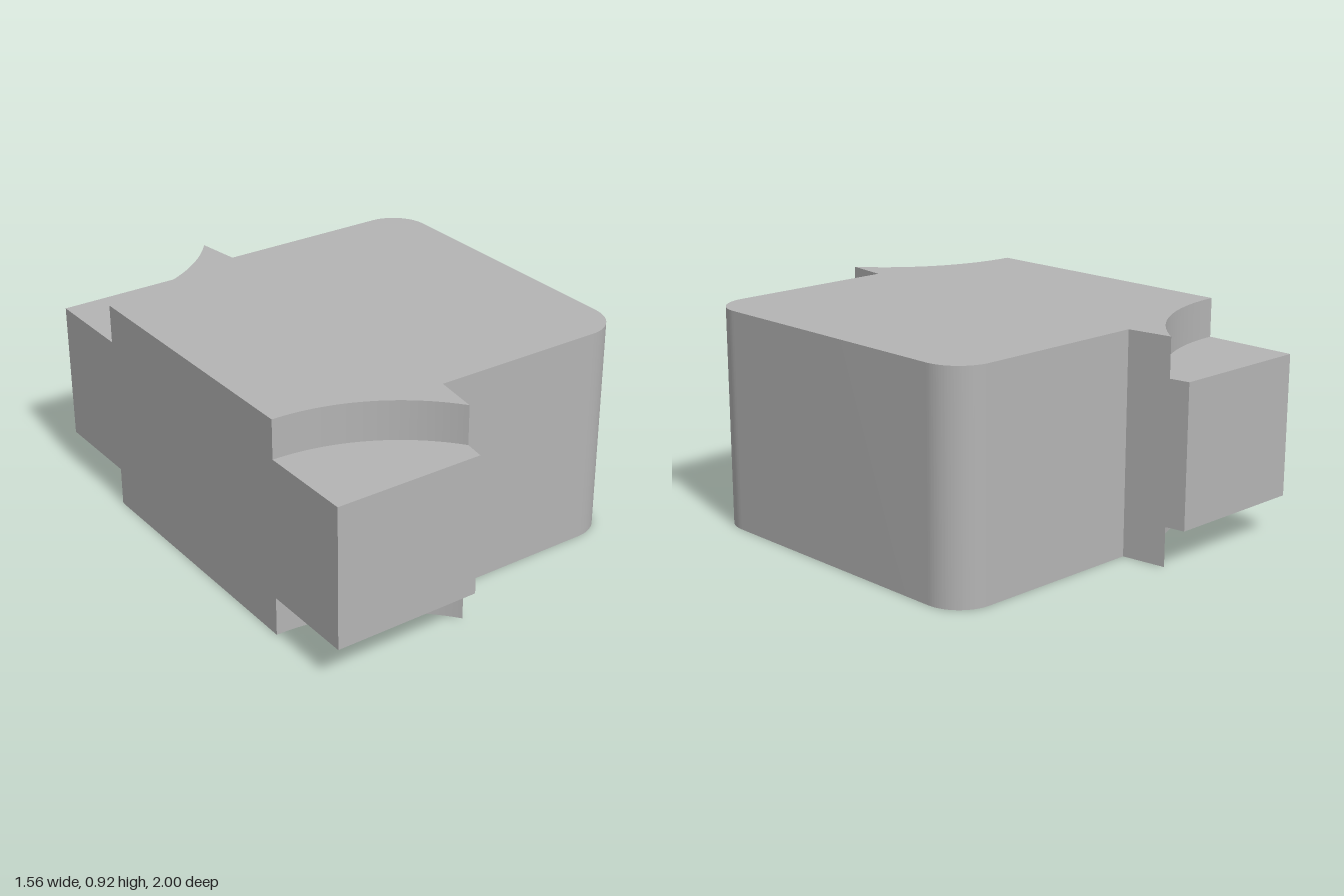
import * as THREE from 'three';
import { toCreasedNormals } from 'three/addons/utils/BufferGeometryUtils.js';

const HEIGHT = 0.92;
const BACK_X = -0.78;                       // flat left wall of the block
const ARC_R = 0.793, ARC_Z = 1.388;         // concave corner cut-outs
const ARC_END = Math.acos(0.637 / ARC_R);   // where the cut meets the tapered wall

// Extrude a plan (x, z) between two heights, keeping curved walls smooth
function slab(shape, y0, y1, material, name) {
  const geometry = new THREE.ExtrudeGeometry(shape, {
    depth: y1 - y0, bevelEnabled: false, curveSegments: 32,
  });
  geometry.rotateX(Math.PI / 2);
  geometry.translate(0, y1, 0);
  const mesh = new THREE.Mesh(toCreasedNormals(geometry, 0.3), material);
  mesh.name = name;
  return mesh;
}

// Full-height plan with rounded corners and two concave cuts
function bodyPlan() {
  const s = new THREE.Shape();
  s.moveTo(BACK_X, ARC_R - ARC_Z);
  s.absarc(BACK_X, -ARC_Z, ARC_R, Math.PI / 2, ARC_END, true);
  s.lineTo(-0.117, -0.727);
  s.lineTo(0.62, -0.727);
  s.absarc(0.62, -0.567, 0.16, -Math.PI / 2, 0, false);
  s.absarc(0.62, 0.567, 0.16, 0, Math.PI / 2, false);
  s.lineTo(-0.117, 0.727);
  s.absarc(BACK_X, ARC_Z, ARC_R, -ARC_END, -Math.PI / 2, true);
  s.closePath();
  return s;
}

// Lug that fills the cut at mid height; side is +1 front, -1 rear
function lugPlan(side) {
  const s = new THREE.Shape();
  s.moveTo(BACK_X, side * (ARC_Z - ARC_R));
  s.absarc(BACK_X, side * ARC_Z, ARC_R, -side * Math.PI / 2, -side * ARC_END, side < 0);
  s.lineTo(-0.155, side);
  s.lineTo(BACK_X, side);
  s.closePath();
  return s;
}

export function createModel() {
  const grey = new THREE.MeshStandardMaterial({ color: 0xb4b4b4 });
  grey.name = 'grey';

  const model = new THREE.Group();
  model.name = 'lugged block';
  model.add(slab(bodyPlan(), 0, HEIGHT, grey, 'body'));
  model.add(slab(lugPlan(1), 0.165, 0.757, grey, 'frontLug'));
  model.add(slab(lugPlan(-1), 0.165, 0.757, grey, 'rearLug'));
  return model;
}
